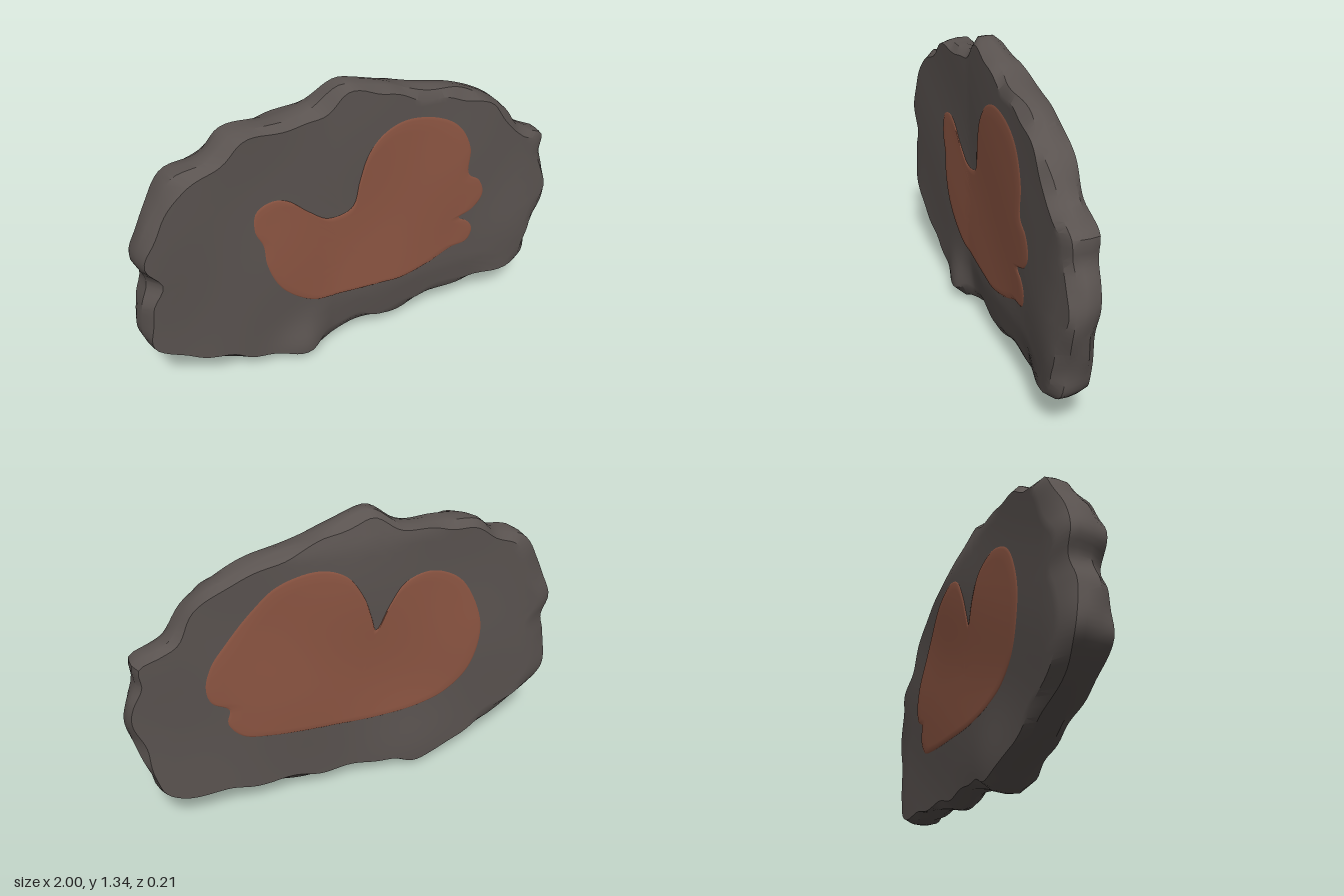
import * as THREE from 'three';
import { toCreasedNormals } from 'three/addons/utils/BufferGeometryUtils.js';

const stone = new THREE.MeshStandardMaterial({ color: 0x5a5350 });
stone.name = 'dark stone';
const clay = new THREE.MeshStandardMaterial({ color: 0x8c5542 });
clay.name = 'red clay';

const SEGMENTS = 200;
const clamp = THREE.MathUtils.clamp;
const bump = (x, y, cx, cy, r) => Math.exp(-((x - cx) ** 2 + (y - cy) ** 2) / (r * r));
const ripple = (x, y) => 0.0025 * (Math.sin(5 * x + 7 * y) + Math.sin(9 * x - 6 * y + 2));

// Smooth closed outline through a few [x, y] points, counter-clockwise from the front
function outline(points) {
  const curve = new THREE.CatmullRomCurve3(points.map(([x, y]) => new THREE.Vector3(x, y, 0)), true);
  return curve.getSpacedPoints(SEGMENTS).slice(0, SEGMENTS);
}

// Height of the front face: thicker to the right-hand side, chipped along the bottom
function frontZ(x, y) {
  const chip = clamp((x + 0.26) * 8, 0, 1) * clamp((0.72 - x) * 10, 0, 1);
  return 0.055 + 0.045 * clamp((-x - 0.15) / 0.75, 0, 1) + 0.04 * bump(x, y, -0.29, 0.08, 0.12)
    + 0.012 * bump(x, y, 0.78, 0.4, 0.2) - 0.02 * clamp((x - 0.85) / 0.15, 0, 1)
    - 0.14 * chip * clamp(0.28 - y, 0, 0.2) + ripple(x, y);
}

// Height of the back face
function backZ(x, y) {
  return -0.088 - 0.012 * bump(x, y, 0.1, 1.05, 0.35) - 0.016 * bump(x, y, -0.29, 0.08, 0.2)
    + 0.01 * clamp((Math.abs(x) - 0.85) / 0.15, 0, 1)
    + 0.03 * clamp((y - 1.2) / 0.13, 0, 1) + ripple(y, x);
}

// Joins closed rings of points into one surface; rings may shrink to a point
function loft(rings, flip) {
  const position = rings.flat().flatMap((p) => [p.x, p.y, p.z]);
  const index = [];
  const add = (a, b, c) => index.push(...(flip ? [a, c, b] : [a, b, c]));
  for (let r = 0; r < rings.length - 1; r++) {
    for (let i = 0; i < SEGMENTS; i++) {
      const j = (i + 1) % SEGMENTS;
      const a = r * SEGMENTS, b = a + SEGMENTS;
      const startsAtPoint = rings[r][0].distanceTo(rings[r][1]) < 1e-6;
      const endsAtPoint = rings[r + 1][0].distanceTo(rings[r + 1][1]) < 1e-6;
      if (!endsAtPoint) add(a + i, b + i, b + j);
      if (!startsAtPoint) add(a + i, endsAtPoint ? b + i : b + j, a + j);
    }
  }
  const geometry = new THREE.BufferGeometry();
  geometry.setAttribute('position', new THREE.Float32BufferAttribute(position, 3));
  geometry.setIndex(index);
  return geometry;
}

const scaled = (ring, centre, k, z) => ring.map((p) => {
  const q = centre.clone().lerp(p, k);
  return new THREE.Vector3(q.x, q.y, z(q.x, q.y));
});

// Rough slab: front face, broken edge and back face in one skin
function makeSlab() {
  const rim = outline([
    [-0.29, 0], [-0.2, 0.035], [-0.02, 0.08], [0.18, 0.065], [0.35, 0.1], [0.6, 0.13], [0.82, 0.15],
    [0.9, 0.2], [0.925, 0.3], [0.96, 0.42], [0.998, 0.58], [0.98, 0.68], [0.94, 0.77], [0.94, 0.86],
    [0.87, 0.9], [0.8, 0.94], [0.7, 1.06], [0.6, 1.135], [0.45, 1.2], [0.2, 1.255], [0.12, 1.285],
    [0, 1.325], [-0.08, 1.333], [-0.2, 1.26], [-0.4, 1.23], [-0.56, 1.215], [-0.66, 1.14],
    [-0.8, 1.1], [-0.88, 0.98], [-0.94, 0.88], [-0.985, 0.76], [-0.95, 0.66], [-0.985, 0.55],
    [-0.998, 0.38], [-0.93, 0.29], [-0.8, 0.2], [-0.6, 0.11], [-0.4, 0.045],
  ]);
  const centre = new THREE.Vector3(0, 0.62, 0);
  const inset = (depth) => rim.map((p, i) => {
    const inward = centre.clone().sub(p).normalize();
    return p.clone().addScaledVector(inward, depth(p, i / SEGMENTS * Math.PI * 2));
  });
  const tip = (p) => bump(p.x, p.y, -0.29, 0, 0.12);
  const frontLip = inset((p, t) => 0.038 + 0.012 * Math.sin(9 * t) + 0.008 * Math.sin(23 * t) + 0.03 * tip(p));
  const backLip = inset((p, t) => 0.025 + 0.01 * Math.sin(11 * t + 1) + 0.006 * Math.sin(19 * t)
    + 0.05 * clamp(-p.x - 0.55, 0, 0.4) / 0.4 + 0.01 * tip(p));
  const frontEdge = inset((p, t) => 0.006 + 0.006 * Math.sin(17 * t));
  const backEdge = inset((p, t) => 0.004 + 0.004 * Math.sin(13 * t + 2));

  const steps = [0, 0.1, 0.2, 0.3, 0.4, 0.5, 0.6, 0.7, 0.78, 0.85, 0.91, 0.96, 1];
  const edgeRing = (ring, z) => ring.map((p, i) =>
    new THREE.Vector3(p.x, p.y, z(p.x, p.y) + 0.008 * Math.sin(i * 0.47)));
  return toCreasedNormals(loft([
    ...steps.map((k) => scaled(frontLip, centre, k, frontZ)),
    edgeRing(frontEdge, (x, y) => 0.45 * frontZ(x, y)),
    edgeRing(rim, () => -0.012),
    edgeRing(backEdge, (x, y) => 0.62 * backZ(x, y)),
    ...steps.slice().reverse().map((k) => scaled(backLip, centre, k, backZ)),
  ]), 0.6);
}

// Thin coloured patch that follows a face of the slab
function makePatch(points, cx, cy, faceZ, side) {
  const ring = outline(points);
  const centre = new THREE.Vector3(cx, cy, 0);
  const raised = (lift) => (x, y) => faceZ(x, y) + side * lift;
  const rings = [0, 0.1, 0.2, 0.3, 0.4, 0.5, 0.6, 0.7, 0.8, 0.9, 0.98].map((k) => scaled(ring, centre, k, raised(0.005)));
  rings.push(scaled(ring, centre, 1, raised(0.001)));
  const geometry = loft(rings, side < 0);
  geometry.computeVertexNormals();
  return geometry;
}

export function createModel() {
  const group = new THREE.Group();
  group.name = 'stoneSlab';
  const add = (name, geometry, material) => {
    const mesh = new THREE.Mesh(geometry, material);
    mesh.name = name;
    group.add(mesh);
  };

  add('slab', makeSlab(), stone);

  // Front patch with a small lobe, a large lobe and a scalloped edge
  add('frontPatch', makePatch([
    [-0.1, 0.31], [0.1, 0.3], [0.2, 0.295], [0.35, 0.33], [0.47, 0.38], [0.55, 0.395], [0.572, 0.46],
    [0.54, 0.51], [0.495, 0.54], [0.57, 0.575], [0.615, 0.64], [0.59, 0.72], [0.53, 0.77], [0.53, 0.9],
    [0.47, 1.02], [0.36, 1.09], [0.2, 1.117], [0.1, 1.08], [0.03, 1], [-0.01, 0.88], [-0.035, 0.77],
    [-0.07, 0.74], [-0.16, 0.735], [-0.25, 0.8], [-0.34, 0.88], [-0.41, 0.9], [-0.48, 0.87],
    [-0.492, 0.78], [-0.46, 0.7], [-0.45, 0.6], [-0.4, 0.47], [-0.32, 0.38], [-0.22, 0.32],
  ], 0, 0.5, frontZ, 1), clay);

  // Back patch with two broad lobes and a narrow notch
  add('backPatch', makePatch([
    [-0.1, 0.34], [0.12, 0.355], [0.4, 0.385], [0.53, 0.42], [0.59, 0.5], [0.58, 0.57], [0.65, 0.62],
    [0.67, 0.7], [0.64, 0.8], [0.57, 0.89], [0.46, 1.01], [0.35, 1.1], [0.18, 1.135], [0.06, 1.09],
    [-0.02, 0.975], [-0.06, 0.86], [-0.08, 0.8], [-0.14, 0.91], [-0.21, 1], [-0.33, 1.03],
    [-0.47, 0.97], [-0.55, 0.86], [-0.6, 0.685], [-0.55, 0.49], [-0.44, 0.39], [-0.3, 0.35],
  ], -0.02, 0.6, backZ, -1), clay);

  return group;
}
